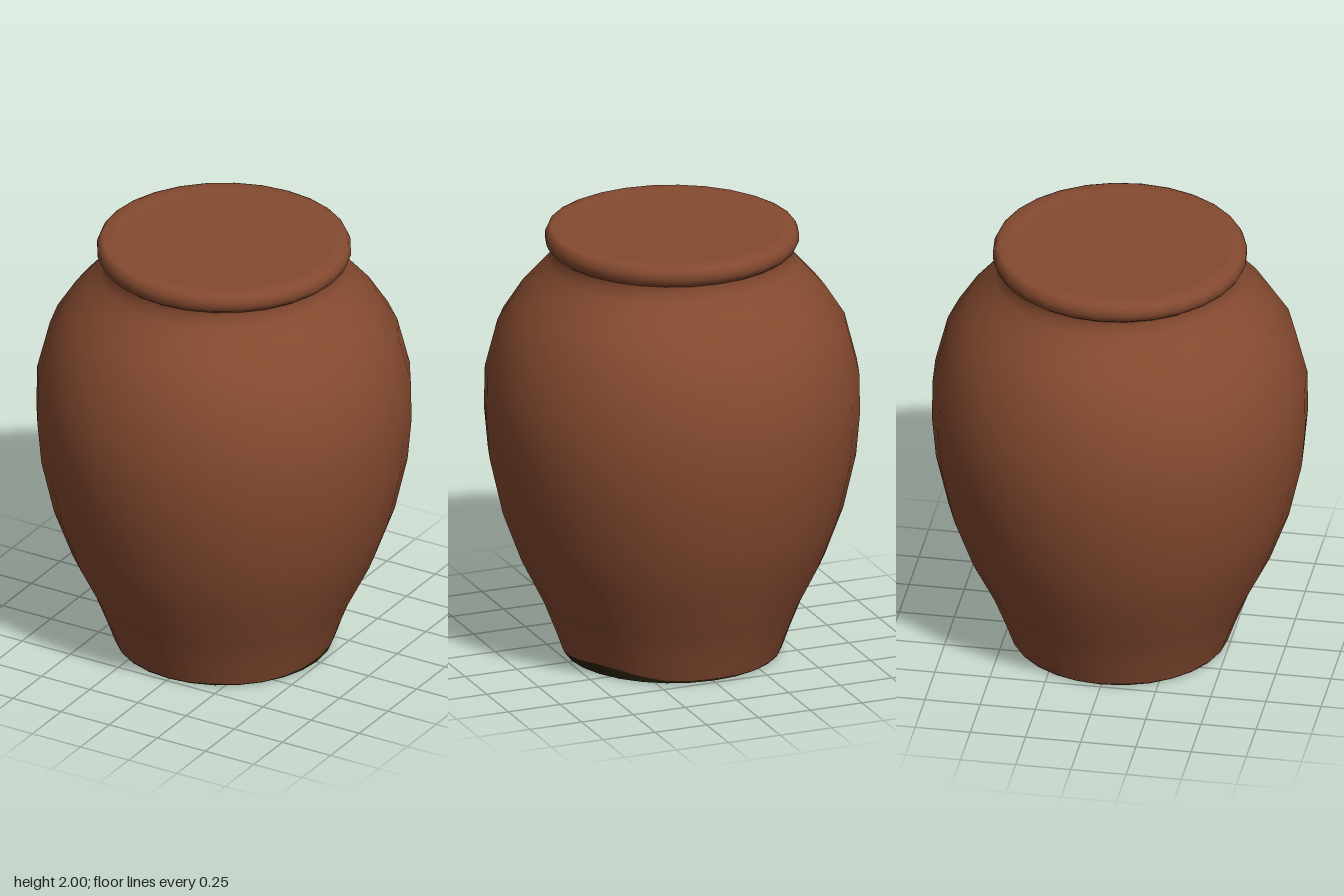
import * as THREE from 'three';

const SIDES = 28;
const FOOT = 0.485, SLOPE = 0.4; // foot radius and outward lean of the lowest wall

// Height of the dark foot's ragged edge around the pot
function edgeHeight(angle) {
  let d = angle + 0.47;
  d = Math.atan2(Math.sin(d), Math.cos(d));
  return 0.012 + 0.046 * Math.exp(-((d / 0.5) ** 2)) + 0.003 * Math.sin(angle * 7);
}

function lathe(points) {
  return new THREE.LatheGeometry(points.map(([r, y]) => new THREE.Vector2(r, y)), SIDES);
}

// Slide one ring of a lathe up or down the wall to follow the ragged edge
function fitRing(geometry, row, rows) {
  const p = geometry.attributes.position;
  for (let i = 0; i <= SIDES; i++) {
    const k = i * rows + row;
    const a = Math.atan2(p.getZ(k), p.getX(k));
    const y = edgeHeight(a), r = FOOT + SLOPE * y;
    p.setXYZ(k, r * Math.cos(a), y, r * Math.sin(a));
  }
  return geometry;
}

export function createModel() {
  const clay = new THREE.MeshStandardMaterial({ color: 0x854a30 });
  clay.name = 'clay';
  const darkEarth = new THREE.MeshStandardMaterial({ color: 0x2c230d });
  darkEarth.name = 'dark earth';

  const jar = new THREE.Group();
  jar.name = 'jar';
  const add = (name, geometry, material) => {
    const mesh = new THREE.Mesh(geometry, material);
    mesh.name = name;
    jar.add(mesh);
  };

  // Belly and shoulder, up to the neck
  const wall = [
    [0.49, 0.02], [0.525, 0.11], [0.58, 0.25], [0.68, 0.45], [0.765, 0.68],
    [0.822, 0.93], [0.84, 1.13], [0.836, 1.32], [0.78, 1.54], [0.69, 1.68],
    [0.61, 1.77], [0.555, 1.83], [0.535, 1.87], [0.535, 1.9],
  ];
  add('body', fitRing(lathe(wall), 0, wall.length), clay);

  // Rolled lip
  add('lip', lathe([
    [0.535, 1.9], [0.556, 1.915], [0.568, 1.94], [0.568, 1.965], [0.557, 1.99], [0.54, 1.998], [0.5, 2],
  ]), clay);

  // Closed, almost flat top
  add('top', lathe([[0.5, 2], [0.42, 1.996], [0, 1.992]]), clay);

  // Dark foot wall with a ragged upper edge, and the underside
  add('foot', fitRing(lathe([[FOOT, 0.004], [0.49, 0.02]]), 1, 2), darkEarth);
  add('underside', lathe([[0, 0], [0.46, 0], [FOOT, 0.004]]), darkEarth);

  return jar;
}
